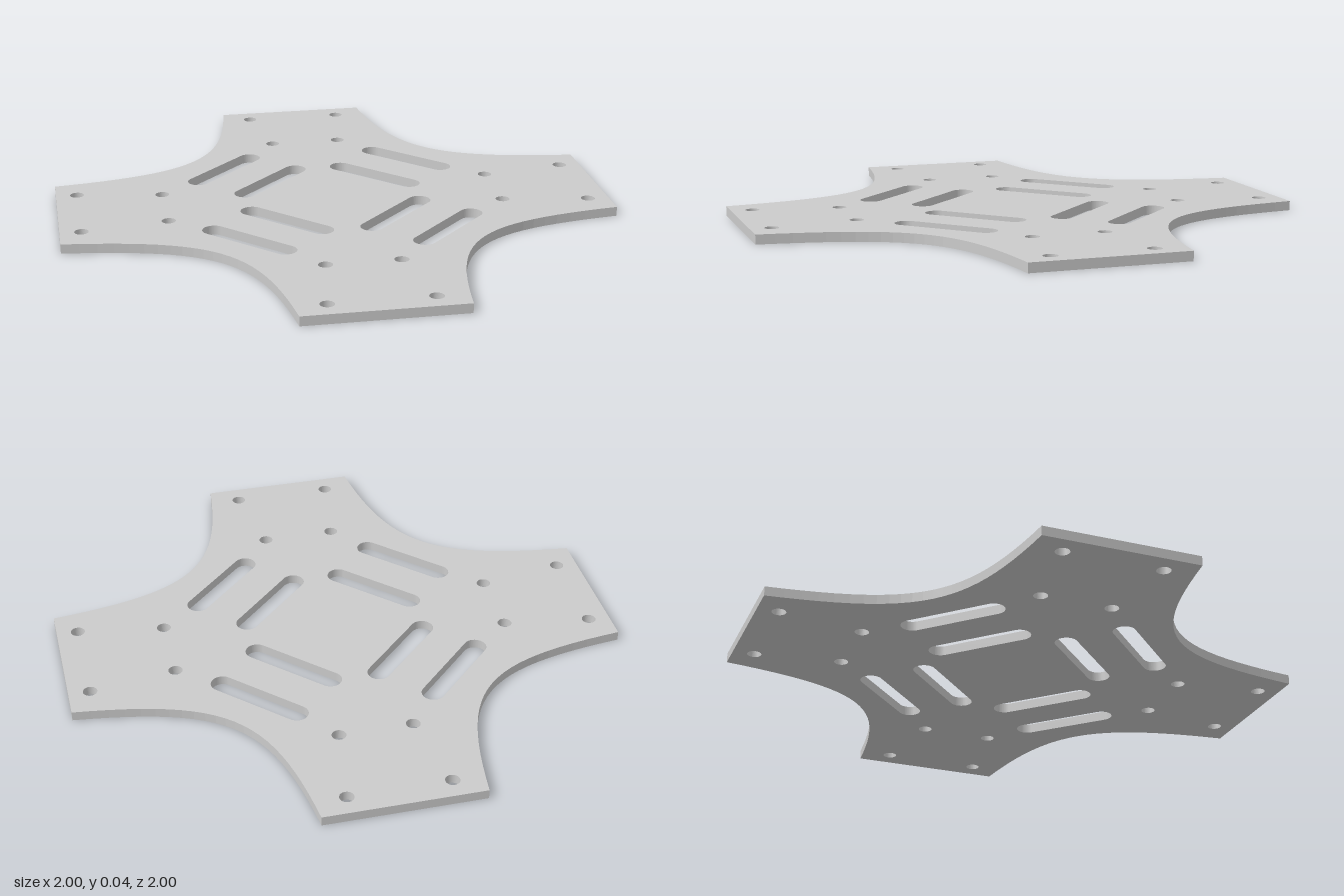
import * as THREE from 'three';

const THICKNESS = 0.038;

// Round hole
function roundHole(x, y, r) {
  const p = new THREE.Path();
  p.absarc(x, y, r, 0, Math.PI * 2, true);
  return p;
}

// Slot with rounded ends; upright slots run along the second axis
function slot(x, y, halfLength, r, upright) {
  const p = new THREE.Path();
  const s = halfLength - r;
  const q = Math.PI / 2;
  if (upright) {
    p.absarc(x, y + s, r, 0, 2 * q, false);
    p.absarc(x, y - s, r, 2 * q, 4 * q, false);
  } else {
    p.absarc(x + s, y, r, -q, q, false);
    p.absarc(x - s, y, r, q, 3 * q, false);
  }
  p.closePath();
  return p;
}

export function createModel() {
  const group = new THREE.Group();
  group.name = 'framePlate';

  // Four-armed outline: a chamfered arm tip, then a concave side, four times
  const outline = new THREE.Shape();
  const turn = (x, y, k) => {
    for (let i = 0; i < k; i++) [x, y] = [-y, x];
    return [x, y];
  };
  outline.moveTo(1, 0.56);
  for (let k = 0; k < 4; k++) {
    outline.lineTo(...turn(0.56, 1, k));
    outline.bezierCurveTo(
      ...turn(0.1, 0.627, k), ...turn(-0.1, 0.627, k), ...turn(-0.56, 1, k));
  }

  // Mounting holes: four on each arm
  for (const sx of [-1, 1]) for (const sy of [-1, 1]) {
    for (const [x, y] of [[0.58, 0.86], [0.86, 0.58], [0.376, 0.58], [0.58, 0.376]]) {
      outline.holes.push(roundHole(sx * x, sy * y, 0.028));
    }
  }

  // Strap slots: an inner and an outer one on each side
  for (const s of [-1, 1]) for (const d of [0.31, 0.553]) {
    outline.holes.push(slot(0, s * d, 0.217, 0.045, false));
    outline.holes.push(slot(s * d, 0, 0.217, 0.045, true));
  }

  // Flat plate laid down on the ground
  const geometry = new THREE.ExtrudeGeometry(outline, {
    depth: THICKNESS, bevelEnabled: false, curveSegments: 24,
  });
  geometry.rotateX(-Math.PI / 2);
  const plate = new THREE.Mesh(geometry, new THREE.MeshStandardMaterial({ color: 0xcccccc }));
  plate.name = 'plate';
  group.add(plate);
  return group;
}
